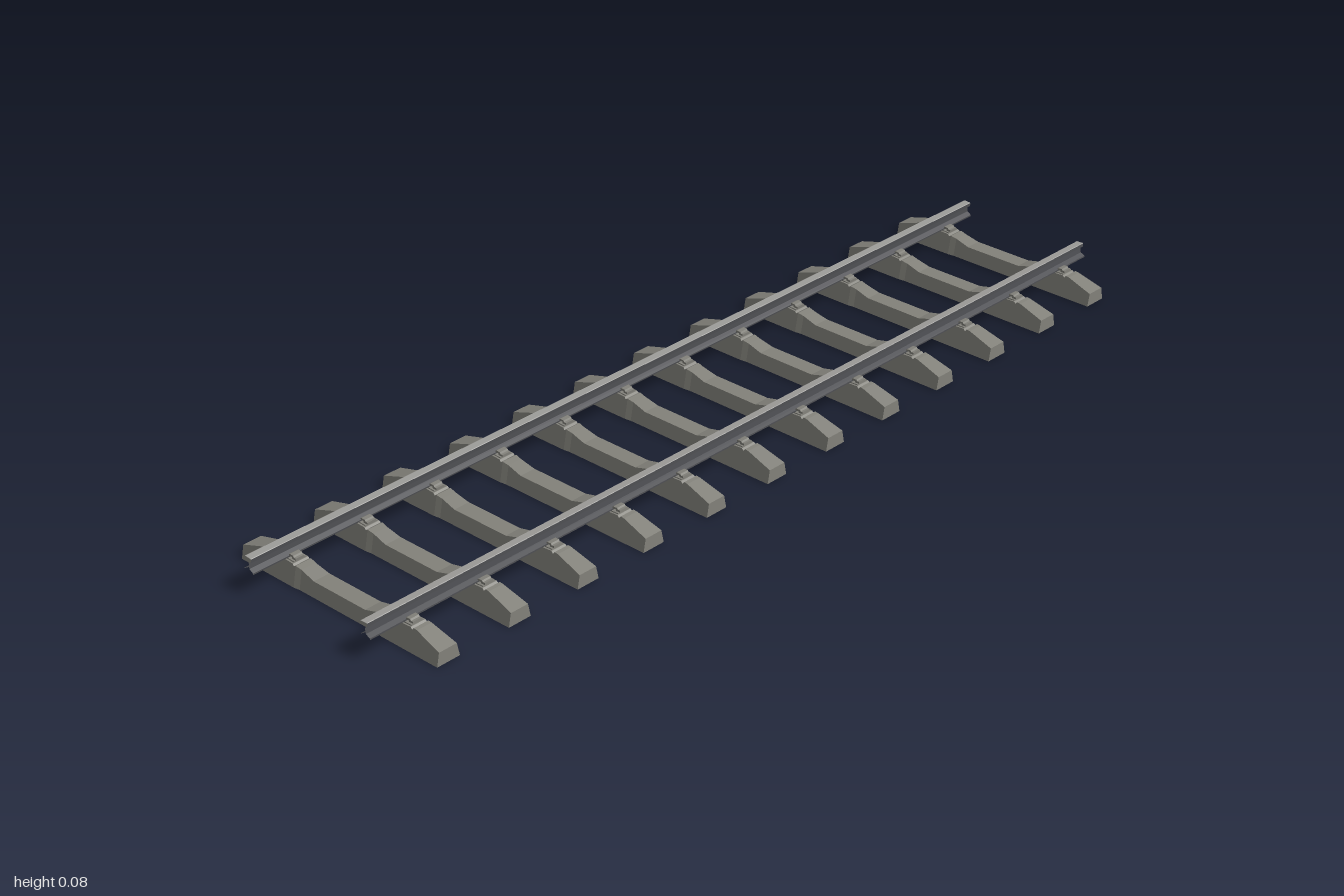
import * as THREE from 'three';

const concrete = new THREE.MeshStandardMaterial({ color: 0x82817a });
concrete.name = 'concrete';
const railSteel = new THREE.MeshStandardMaterial({ color: 0x4e4f53 });
railSteel.name = 'rail steel';
const polishedSteel = new THREE.MeshStandardMaterial({ color: 0x9c9b98 });
polishedSteel.name = 'polished steel';

const RAIL_X = 0.152;
const SEAT_Y = 0.0445;
const CANT = 0.05;
const sleeperZ = Array.from({ length: 12 }, (_, i) => -0.9175 + i * 0.166);

function facets(vertices) {
  const geometry = new THREE.BufferGeometry();
  geometry.setAttribute('position', new THREE.Float32BufferAttribute(vertices, 3));
  geometry.computeVertexNormals();
  return geometry;
}

// Two triangles, corners counterclockwise from outside
const quad = (a, b, c, d) => [...a, ...b, ...c, ...a, ...c, ...d];

// Concrete sleeper: trapezoid cross-sections along x, with a lower and slimmer waist
function sleeperGeometry() {
  const half = [[0.067, 0.029], [0.1, 0.0375], [0.114, 0.0405], [0.119, 0.038], [0.122, 0.0415],
    [0.182, 0.0445], [0.186, 0.041], [0.19, 0.0455], [0.198, 0.0445], [0.255, 0.027]];
  const stations = [...half.map(([x, y]) => [-x, y]).reverse(), ...half];
  const sections = stations.map(([x, y]) => {
    const base = Math.abs(x) < 0.11 ? 0.024 : 0.026;
    const top = base - y * 0.21;
    return [[x, 0, base], [x, 0, -base], [x, y, -top], [x, y, top]];
  });
  const v = [];
  for (let i = 0; i < sections.length - 1; i++) {
    const s = sections[i];
    const t = sections[i + 1];
    for (let k = 0; k < 4; k++) {
      const n = (k + 1) % 4;
      v.push(...quad(s[k], s[n], t[n], t[k]));
    }
  }
  const [a, b, c, d] = sections[0];
  const [e, f, g, h] = sections[sections.length - 1];
  v.push(...quad(d, c, b, a), ...quad(e, f, g, h));
  return facets(v);
}

// Open-ended strip swept along z through counterclockwise profile points
function sweep(points) {
  const v = [];
  for (let i = 0; i < points.length - 1; i++) {
    const p = points[i];
    const q = points[i + 1];
    v.push(...quad([...p, -1], [...q, -1], [...q, 1], [...p, 1]));
  }
  return facets(v);
}

// Rail: foot, web and head sides, with a polished running surface
const flank = [[0.0125, 0], [0.0125, 0.003], [0.003, 0.008], [0.002, 0.02], [0.0085, 0.023], [0.0085, 0.03]];
const mirror = (pts) => pts.map(([x, y]) => [-x, y]).reverse();
const railBody = sweep([...mirror(flank), ...flank]);
const railTop = sweep([[0.0085, 0.03], [0.0075, 0.031], [-0.0075, 0.031], [-0.0085, 0.03]]);

// Stepped clip that holds down one edge of the rail foot
function clipGeometry() {
  const shape = new THREE.Shape([[-0.004, 0.003], [0.004, 0.003], [0.004, 0], [0.014, 0], [0.014, 0.004],
    [0.009, 0.004], [0.007, 0.007], [-0.002, 0.007], [-0.004, 0.006]]
    .map(([x, y]) => new THREE.Vector2(x, y)));
  return new THREE.ExtrudeGeometry(shape, { depth: 0.02, bevelEnabled: false }).translate(0, 0, -0.01);
}

function mesh(name, geometry, material, parent) {
  const m = new THREE.Mesh(geometry, material);
  m.name = name;
  parent.add(m);
  return m;
}

export function createModel() {
  const model = new THREE.Group();
  model.name = 'railwayTrack';
  const sleeper = sleeperGeometry();
  const pad = new THREE.BoxGeometry(0.058, 0.002, 0.028);
  const clip = clipGeometry();

  for (const z of sleeperZ) mesh('sleeper', sleeper, concrete, model).position.z = z;

  for (const side of [-1, 1]) {
    // Each rail with its fastenings leans slightly inwards
    const line = new THREE.Group();
    line.name = side > 0 ? 'leftRail' : 'rightRail';
    line.position.set(side * RAIL_X, SEAT_Y, 0);
    line.rotation.z = side * CANT;
    model.add(line);
    mesh('railBody', railBody, railSteel, line).position.y = 0.001;
    mesh('runningSurface', railTop, polishedSteel, line).position.y = 0.001;
    for (const z of sleeperZ) {
      mesh('railPad', pad, concrete, line).position.z = z;
      for (const edge of [-1, 1]) {
        const c = mesh('railClip', clip, concrete, line);
        c.position.set(edge * 0.0155, 0.001, z);
        c.rotation.y = edge > 0 ? 0 : Math.PI;
      }
    }
  }
  return model;
}
